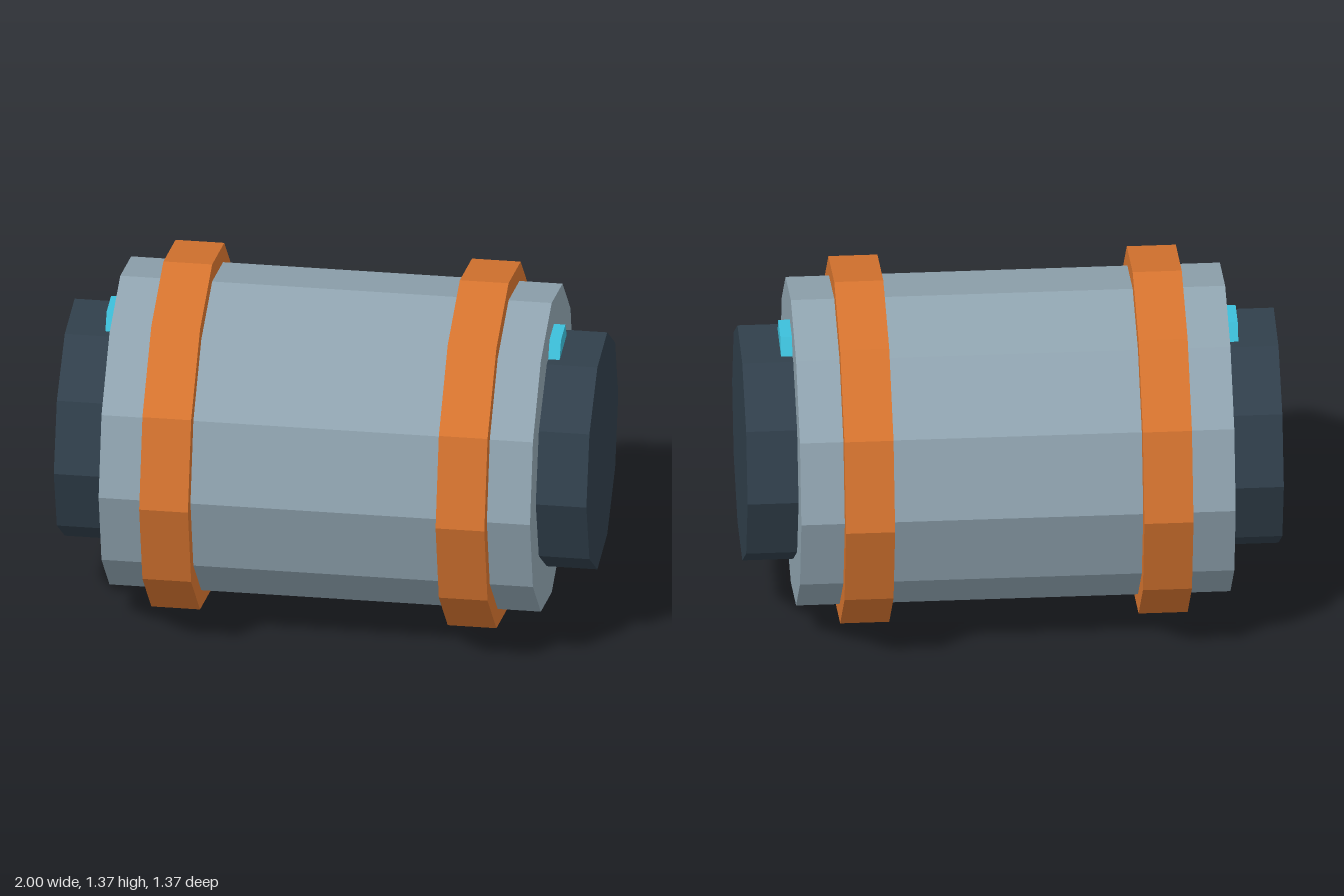
import * as THREE from 'three';

const AXIS_Y = 0.684;

function material(color) {
  return new THREE.MeshStandardMaterial({ color, flatShading: true });
}

export function createModel() {
  const group = new THREE.Group();
  group.name = 'canister';

  const shell = material(0x90a4b0);
  const orange = material(0xd6742f);
  const dark = material(0x303f4b);
  const cyan = material(0x3cbfda);

  // Faceted drum lying along x, from x0 to x1
  function drum(name, radius, sides, x0, x1, mat, y = AXIS_Y) {
    const geometry = new THREE.CylinderGeometry(radius, radius, Math.abs(x1 - x0), sides);
    geometry.rotateZ(Math.PI / 2);
    const mesh = new THREE.Mesh(geometry, mat);
    mesh.name = name;
    mesh.position.set((x0 + x1) / 2, y, 0);
    group.add(mesh);
  }

  // Main body
  drum('body', 0.612, 12, -0.81, 0.81, shell);

  // Mirrored bands, end caps and indicator lights
  for (const [side, s] of [['left', 1], ['right', -1]]) {
    drum(side + 'Band', 0.684, 12, s * 0.465, s * 0.648, orange);
    drum(side + 'EndCap', 0.449, 10, s * 0.79, s, dark);
    drum(side + 'Light', 0.125, 6, s * 0.77, s * 0.853, cyan, 1.066);
  }

  return group;
}
